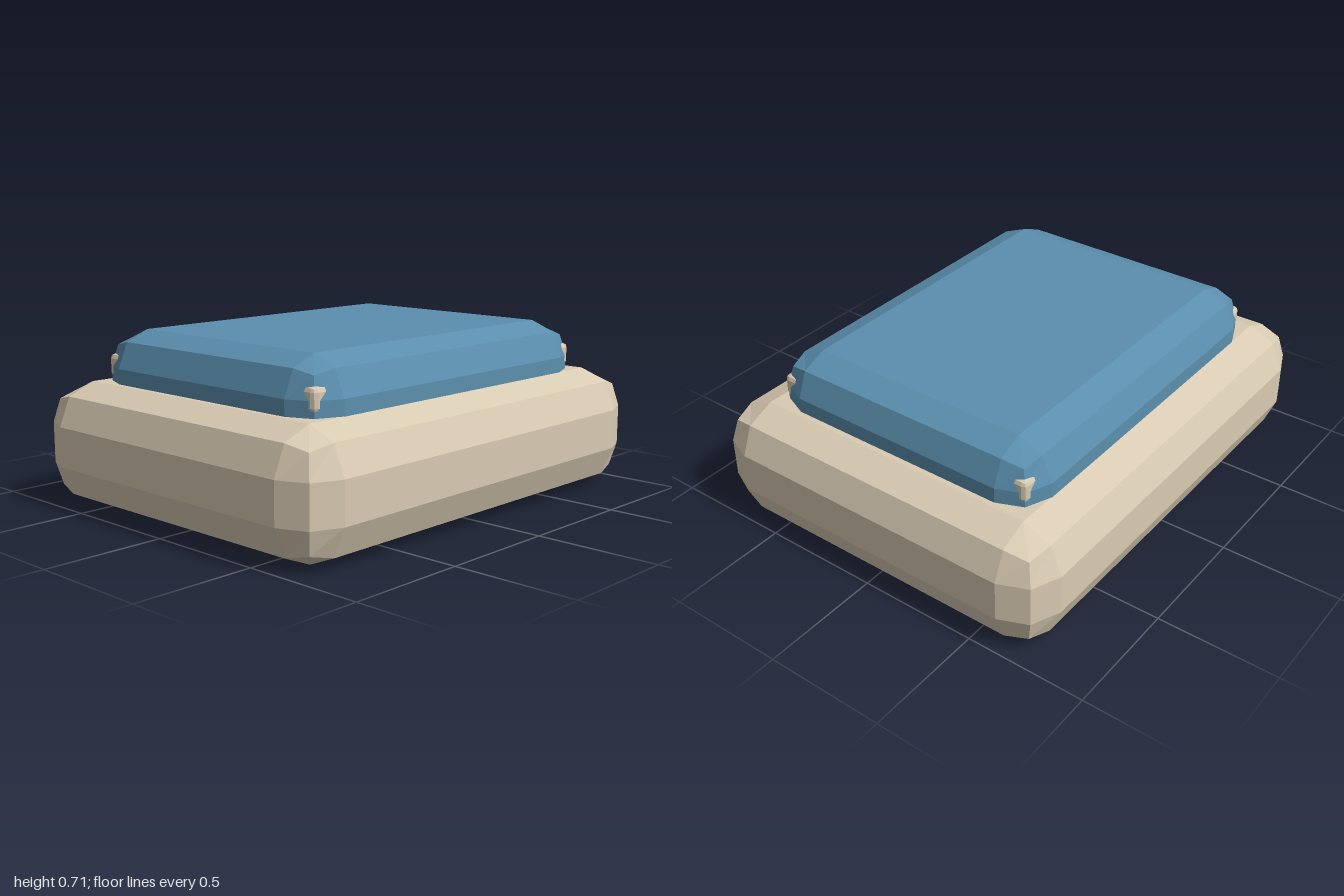
import * as THREE from 'three';
import { RoundedBoxGeometry } from 'three/addons/geometries/RoundedBoxGeometry.js';

// Box with two-facet bevels, placed by its bottom and top heights
function bevelledBox(name, width, depth, bottom, top, radius, material) {
  const geometry = new RoundedBoxGeometry(width, top - bottom, depth, 1, radius);
  const mesh = new THREE.Mesh(geometry, material);
  mesh.name = name;
  mesh.position.y = (bottom + top) / 2;
  return mesh;
}

export function createModel() {
  const model = new THREE.Group();
  model.name = 'cushionedBlock';
  const cream = new THREE.MeshStandardMaterial({ color: 0xd9cbb3, flatShading: true });
  const blue = new THREE.MeshStandardMaterial({ color: 0x5b8fae, flatShading: true });

  // Wide base
  model.add(bevelledBox('base', 2, 1.58, 0, 0.5, 0.167, cream));
  // Raised pad, its lower bevel sunk into the base
  model.add(bevelledBox('pad', 1.62, 1.25, 0.3, 0.71, 0.148, blue));
  // Thin inner slab whose corners peek through the pad's corners
  model.add(bevelledBox('innerSlab', 1.55, 1.18, 0.515, 0.612, 0.02, cream));
  return model;
}
